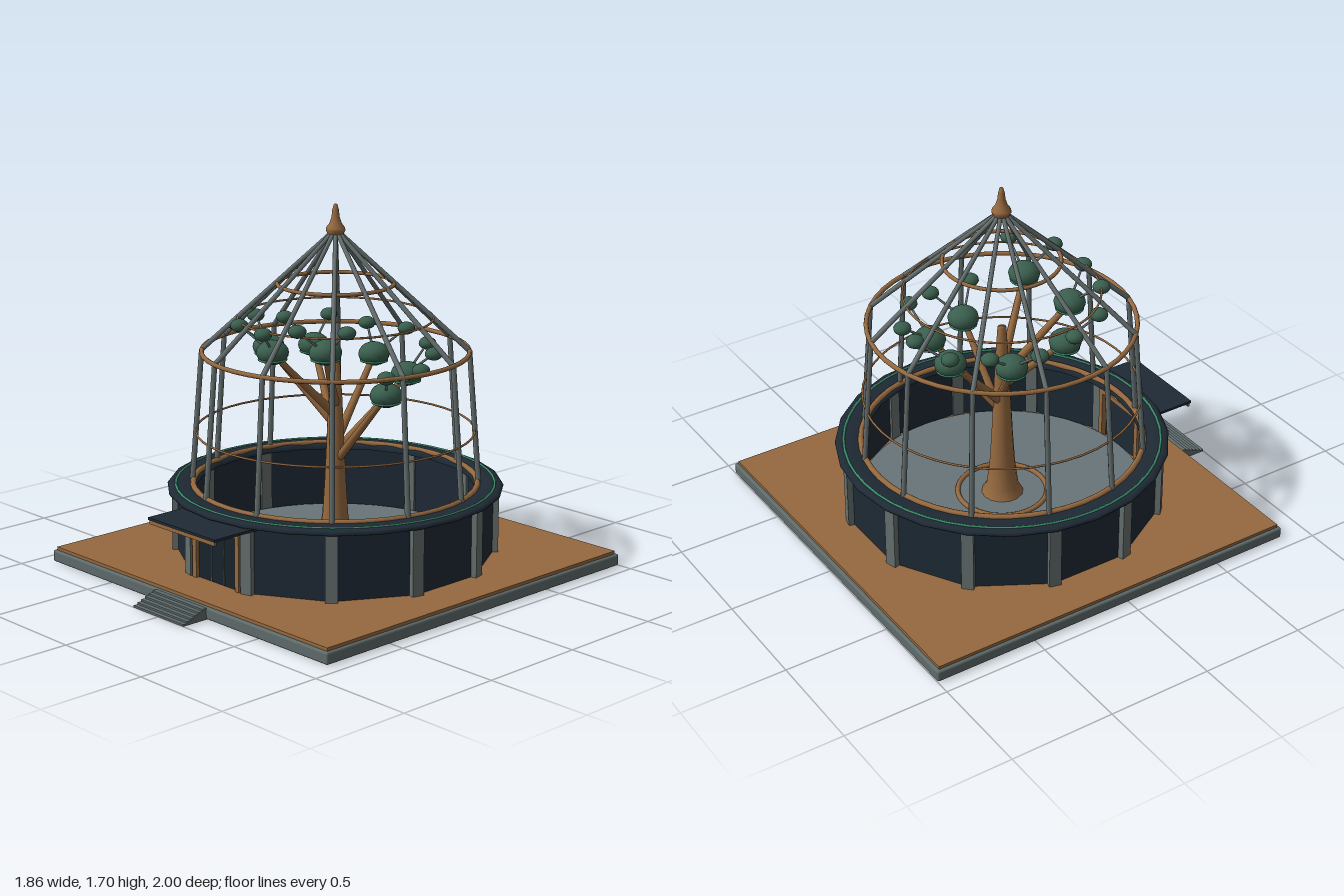
import * as THREE from 'three';
import { RoundedBoxGeometry } from 'three/addons/geometries/RoundedBoxGeometry.js';

const mat = (name, color, extra = {}) => {
  const m = new THREE.MeshStandardMaterial({ color, ...extra });
  m.name = name;
  return m;
};

export function createModel() {
  const wood = mat('wood', 0x95693f);
  const stone = mat('stone', 0x69757a);
  const plinth = mat('plinthStone', 0x5f6b6b);
  const steel = mat('steel', 0x66706f);
  const navy = mat('darkPanel', 0x1e2a35);
  const glass = mat('doorGlass', 0x18222c);
  const leaf = mat('foliage', 0x3a5f4e);
  const bright = mat('brightGreen', 0x3a8a68);

  const root = new THREE.Group();
  root.name = 'treePavilion';
  const hall = new THREE.Group();
  hall.name = 'roundHall';
  hall.position.z = -0.065;
  root.add(hall);

  const add = (parent, name, geo, m, x = 0, y = 0, z = 0) => {
    const mesh = new THREE.Mesh(geo, m);
    mesh.name = name;
    mesh.position.set(x, y, z);
    parent.add(mesh);
    return mesh;
  };
  const box = (parent, name, w, h, d, m, x, y, z) =>
    add(parent, name, new THREE.BoxGeometry(w, h, d), m, x, y, z);
  const ring = (parent, name, r, t, y, m, seg = 48) => {
    const mesh = add(parent, name, new THREE.TorusGeometry(r, t, 8, seg), m, 0, y, 0);
    mesh.rotation.x = Math.PI / 2;
    return mesh;
  };
  // Tapered round bar between two points
  const bar = (parent, name, a, b, ra, rb, m, seg = 8) => {
    const dir = b.clone().sub(a);
    const mid = a.clone().add(b).multiplyScalar(0.5);
    const mesh = add(parent, name, new THREE.CylinderGeometry(rb, ra, dir.length(), seg), m, mid.x, mid.y, mid.z);
    mesh.quaternion.setFromUnitVectors(new THREE.Vector3(0, 1, 0), dir.normalize());
    return mesh;
  };
  // Point at angle a (0 = front), radius r, height y
  const polar = (a, r, y) => new THREE.Vector3(Math.sin(a) * r, y, Math.cos(a) * r);
  const lathe = (pts, seg) => new THREE.LatheGeometry(pts.map(p => new THREE.Vector2(...p)), seg);

  // Platform, deck and front steps
  add(hall, 'platform', new RoundedBoxGeometry(1.86, 0.055, 1.87, 2, 0.01), plinth, 0, 0.0275, 0);
  box(hall, 'deck', 1.83, 0.016, 1.84, wood, 0, 0.062, 0);
  for (let i = 0; i < 6; i++) {
    const h = 0.052 - i * 0.0085, d = 0.02 + (i + 1) * 0.13 / 6;
    box(root, 'step', 0.34, h, d, plinth, 0, h / 2, 0.85 + d / 2);
  }
  add(hall, 'floor', new THREE.CylinderGeometry(0.68, 0.68, 0.015, 48), stone, 0, 0.0755, 0);

  // Twelve wall panels with pillars between them
  for (let i = 0; i < 12; i++) {
    const a = i * Math.PI / 6;
    const p = polar(a, 0.7, 0.222);
    box(hall, 'wallPanel', 0.376, 0.305, 0.02, navy, p.x, p.y, p.z).rotation.y = a;
    const b = a + Math.PI / 12;
    const q = polar(b, 0.725, 0.222);
    box(hall, 'pillar', 0.056, 0.305, 0.06, steel, q.x, q.y, q.z).rotation.y = b;
  }

  // Eave ring with a green line and a wooden inner curb
  const eave = add(hall, 'eave', lathe([[0.645, 0.372], [0.75, 0.372], [0.77, 0.379], [0.776, 0.388],
    [0.768, 0.398], [0.75, 0.404], [0.645, 0.404], [0.645, 0.372]], 24), navy);
  eave.material = navy;
  ring(hall, 'eaveLine', 0.735, 0.006, 0.404, bright);
  ring(hall, 'innerCurb', 0.655, 0.014, 0.404, wood);

  // Entrance: frame, glazed doors and canopy
  const door = new THREE.Group();
  door.name = 'entrance';
  hall.add(door);
  for (const s of [-1, 1]) {
    box(door, 'doorPost', 0.026, 0.26, 0.07, wood, s * 0.143, 0.2, 0.7);
    box(door, 'doorMullion', 0.004, 0.24, 0.006, steel, s * 0.042, 0.195, 0.719);
  }
  box(door, 'doorHead', 0.312, 0.026, 0.07, wood, 0, 0.328, 0.7);
  box(door, 'doorGlass', 0.26, 0.245, 0.008, glass, 0, 0.1925, 0.714);
  box(door, 'canopy', 0.45, 0.012, 0.27, navy, 0, 0.367, 0.795);
  box(door, 'canopyTrim', 0.44, 0.02, 0.012, wood, 0, 0.352, 0.92);

  // Cage ribs and hoops
  for (let i = 0; i < 12; i++) {
    const a = (i + 0.5) * Math.PI / 6;
    bar(hall, 'cagePost', polar(a, 0.66, 0.4), polar(a, 0.61, 1.02), 0.013, 0.012, steel);
    bar(hall, 'roofRib', polar(a, 0.61, 1.02), polar(a, 0.015, 1.565), 0.012, 0.01, steel);
  }
  for (const [r, t, y] of [[0.64, 0.005, 0.65], [0.61, 0.011, 1.02], [0.445, 0.005, 1.173], [0.265, 0.009, 1.33]])
    ring(hall, 'cageHoop', r, t, y, wood);

  // Finial at the peak
  add(hall, 'finial', lathe([[0, 1.535], [0.03, 1.54], [0.036, 1.557], [0.044, 1.572], [0.043, 1.585],
    [0.028, 1.605], [0.018, 1.635], [0.015, 1.665], [0.008, 1.69], [0, 1.695]], 16), wood);

  // Tree trunk and ring around its foot
  const tree = new THREE.Group();
  tree.name = 'tree';
  hall.add(tree);
  add(tree, 'trunk', lathe([[0.1, 0.08], [0.075, 0.13], [0.06, 0.25], [0.05, 0.41],
    [0.04, 0.62], [0.032, 0.8], [0.02, 0.985], [0, 0.99]], 14), wood);
  ring(tree, 'plantingRing', 0.21, 0.012, 0.088, wood);

  // Seven branches rising in a spiral, each with a large crown and two small ones
  const crown = new THREE.SphereGeometry(1, 14, 10);
  for (let k = 0; k < 7; k++) {
    const j = (7 - k) % 7;
    const a = Math.PI / 2 - k * Math.PI * 2 / 7;
    const y = 0.868 + 0.036 * j;
    const c = polar(a, 0.328, y);
    bar(tree, 'branch', polar(a, 0.01, 0.5 + 0.045 * j), polar(a, 0.31, y - 0.025), 0.022, 0.014, wood);
    add(tree, 'largeCrown', crown, leaf, c.x, c.y, c.z).scale.set(0.074, 0.056, 0.074);
    const band = ring(tree, 'crownBand', 0.062, 0.005, c.y - 0.032, bright, 20);
    band.position.x = c.x;
    band.position.z = c.z;
    for (const s of [-1, 1]) {
      const e = polar(a + s * 0.245, 0.45, y + 0.115);
      bar(tree, 'twig', c, e, 0.007, 0.005, steel, 6);
      add(tree, 'smallCrown', crown, leaf, e.x, e.y, e.z).scale.set(0.041, 0.03, 0.041);
    }
  }
  return root;
}
